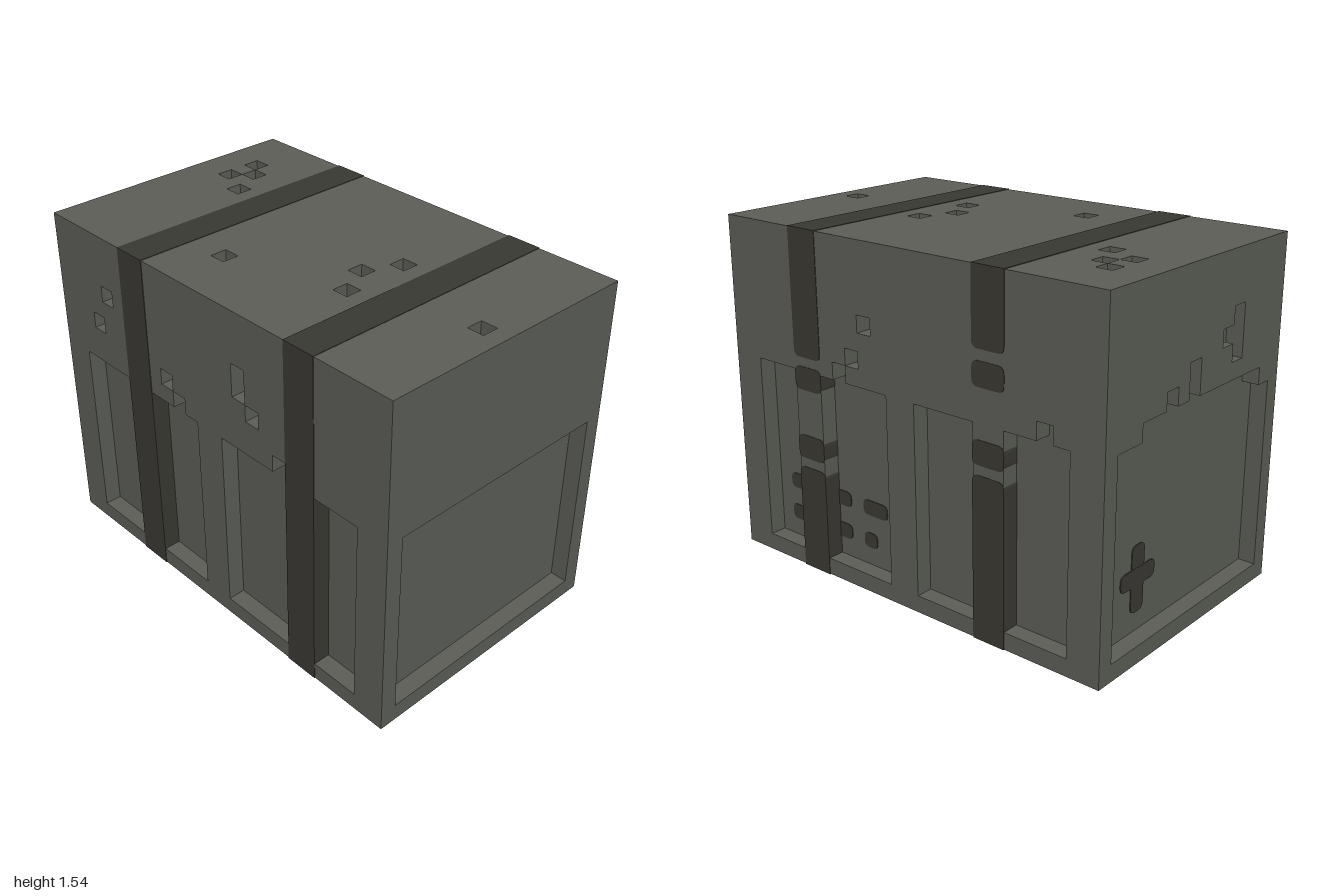
import * as THREE from 'three';

// Worked in grid cells: body is 16 x 20 x 26, recesses are one cell deep.
const CELL = 1 / 13;
const PROUD = 0.03;

const stone = new THREE.MeshStandardMaterial({ color: 0x5c5e57 });
stone.name = 'stone';
const band = new THREE.MeshStandardMaterial({ color: 0x3a3933 });
band.name = 'darkBand';

const polygon = (pts) => pts.map(([x, y]) => new THREE.Vector2(x, y));
const rect = (u0, v0, u1, v1) => polygon([[u0, v0], [u1, v0], [u1, v1], [u0, v1]]);
// Chipped-out cell, a hair smaller than the grid so neighbours never touch
const chip = (u, v, h = 1) => rect(u + 0.01, v + 0.01, u + 0.99, v + h - 0.01);

// Panel with a stepped top: one height for each cell from u0
function stepped(u0, base, heights) {
  const pts = [[u0, base], [u0 + heights.length, base]];
  for (let i = heights.length - 1; i >= 0; i--) {
    if (heights[i] !== heights[i + 1]) pts.push([u0 + i + 1, heights[i]]);
    if (heights[i] !== heights[i - 1]) pts.push([u0 + i, heights[i]]);
  }
  return polygon(pts);
}

// Flat ten-cell panel with one raised cell
const panel = (u0, raised = -1) =>
  stepped(u0, 1, Array.from({ length: 10 }, (_, i) => (i === raised ? 13 : 12)));

// Rectangle with separate rounding at its lower and upper ends
function roundRect(u0, v0, u1, v1, rLow, rHigh) {
  const s = new THREE.Shape();
  s.moveTo(u0 + rLow, v0);
  s.lineTo(u1 - rLow, v0);
  if (rLow) s.quadraticCurveTo(u1, v0, u1, v0 + rLow);
  s.lineTo(u1, v1 - rHigh);
  if (rHigh) s.quadraticCurveTo(u1, v1, u1 - rHigh, v1);
  s.lineTo(u0 + rHigh, v1);
  if (rHigh) s.quadraticCurveTo(u0, v1, u0, v1 - rHigh);
  s.lineTo(u0, v0 + rLow);
  if (rLow) s.quadraticCurveTo(u0, v0, u0 + rLow, v0);
  return s;
}

function slab(parent, name, shape, depth, material) {
  const geo = new THREE.ExtrudeGeometry(shape, { depth, bevelEnabled: false, curveSegments: 5 });
  const mesh = new THREE.Mesh(geo, material);
  mesh.name = name;
  parent.add(mesh);
  return mesh;
}

// One side of the block: a one-cell-thick slab cut with recesses
function face(root, name, position, rotation, outline, holes) {
  const g = new THREE.Group();
  g.name = name;
  g.position.set(...position);
  g.rotation.set(...rotation);
  const shape = new THREE.Shape(outline);
  shape.holes = holes.map((pts) => new THREE.Path(pts));
  slab(g, name + 'Slab', shape, 1, stone);
  root.add(g);
  return g;
}

// Vertical strap on a side: stone bar across the recess, dark segments around it
function strap(side, u, segments) {
  slab(side, 'strapBar', new THREE.Shape(rect(u, 1, u + 2, 12)), 1, stone);
  for (const [low, high] of segments) {
    const shape = roundRect(u - PROUD, low, u + 2 + PROUD, high, low > 0 ? 0.4 : 0, high < 20 ? 0.4 : 0);
    slab(side, 'strap', shape, 1 + PROUD, band);
  }
}

export function createModel() {
  const model = new THREE.Group();
  model.name = 'block';
  const root = new THREE.Group();
  root.name = 'carvedBlock';
  root.scale.setScalar(CELL);
  model.add(root);

  // Solid core, seen at the bottom of every recess
  const core = new THREE.Mesh(new THREE.BoxGeometry(14, 18, 24), stone);
  core.name = 'core';
  core.position.y = 10;
  root.add(core);

  const Q = Math.PI / 2;
  const endOutline = rect(-8, 0, 8, 20);
  const sideOutline = rect(-13, 0, 13, 20);
  const flatOutline = rect(-8, -13, 8, 13);

  // Front: one clean panel
  face(root, 'front', [0, 0, 12], [0, 0, 0], endOutline, [rect(-7, 1, 7, 12)]);

  // Back: crumbled panel top, a chipped cluster and a painted cross
  const back = face(root, 'back', [0, 0, -12], [0, Math.PI, 0], endOutline, [
    stepped(-7, 1, [12, 12, 13, 13, 14, 13, 15, 13, 13, 13, 13, 13, 13, 12]),
    polygon([[2, 15], [3, 15], [3, 14], [4, 14], [4, 17], [3, 17], [3, 16], [2, 16]]),
  ]);
  slab(back, 'crossUpright', roundRect(-4.05, 2.1, -2.95, 5.9, 0.4, 0.4), 0.05, band);
  slab(back, 'crossBar', roundRect(-5, 3.6, -2, 4.6, 0.4, 0.4), 0.06, band);

  // Side at +x: worn straps and painted dashes
  const left = face(root, 'leftSide', [7, 0, 0], [0, Q, 0], sideOutline,
    [panel(-11, 6), panel(1, 8), chip(-4, 13), chip(-3, 15)]);
  strap(left, -8, [[0, 6.25], [6.8, 8.2], [10.9, 12.25], [12.8, 20]]);
  strap(left, 5, [[0, 9.25], [9.8, 11.15], [13.9, 15.25], [15.85, 20]]);
  for (const [u0, v, u1] of [[-10, 4, -5], [-4, 4, -2.15], [-10, 2, -5], [-4, 2, -3]])
    slab(left, 'paintDash', roundRect(u0, v + 0.08, u1, v + 0.98, 0.35, 0.35), 0.05, band);

  // Side at -x: whole straps
  const right = face(root, 'rightSide', [-7, 0, 0], [0, -Q, 0], sideOutline, [
    panel(-11, 8), panel(1, 4), chip(-4, 13), chip(-9, 16), chip(-10, 14), chip(2, 15, 2), chip(3, 14),
  ]);
  for (const u of [-7, 6]) strap(right, u, [[0, 20]]);

  // Top: scattered chips
  const topChips = [[2, -11], [4, -11], [3, -10], [1, -9], [-5, -3], [-1, 3], [-3, 4], [1, 4], [-1, 11]];
  const top = face(root, 'top', [0, 19, 0], [-Q, 0, 0], flatOutline,
    topChips.map(([x, z]) => chip(x, -z - 1)));

  // Underside: two panels
  const bottom = face(root, 'underside', [0, 1, 0], [Q, 0, 0], flatOutline,
    [rect(-7, 1, 7, 11), rect(-7, -11, 7, -1)]);

  // Straps carried across the top and underside
  for (const z of [-7, 6]) {
    const w = 8 + PROUD;
    slab(top, 'topStrap', new THREE.Shape(rect(-w, -z - 2 - PROUD, w, -z + PROUD)), PROUD, band).position.z = 1;
    slab(bottom, 'undersideStrap', new THREE.Shape(rect(-w, z - PROUD, w, z + 2 + PROUD)), 1 + PROUD, band);
  }
  return model;
}
